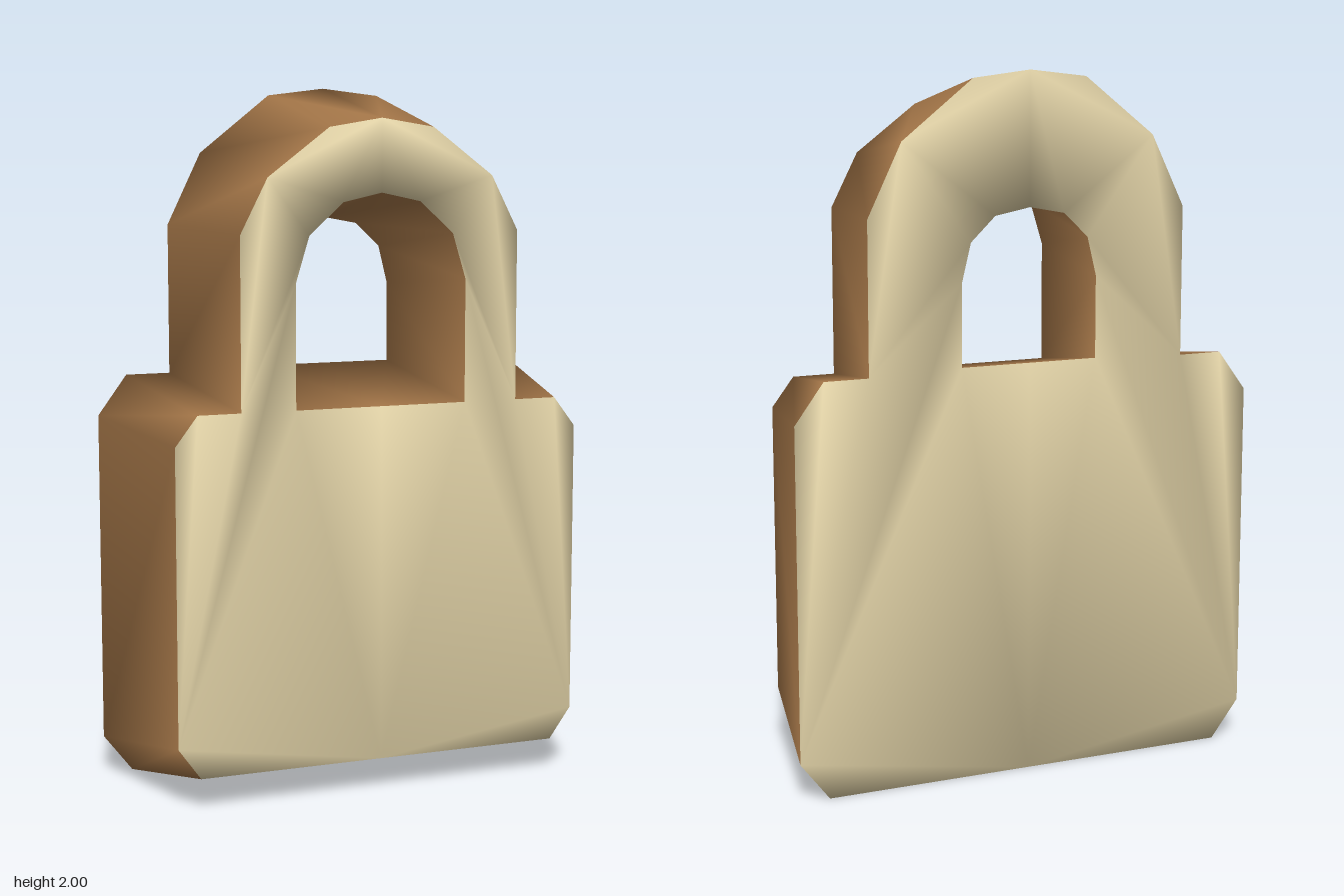
import * as THREE from 'three';
import { mergeVertices } from 'three/addons/utils/BufferGeometryUtils.js';

// Half outline of the padlock: back x, back y, front x, front y.
// Runs up the outer edge from bottom centre, then down the shackle opening.
const OUTER = [
  [0, 0, 0, 0.095], [0.61, 0, 0.54, 0.095], [0.695, 0.11, 0.605, 0.185],
  [0.695, 1.065, 0.605, 1.03], [0.61, 1.18, 0.54, 1.115], [0.48, 1.18, 0.415, 1.115],
  [0.48, 1.61, 0.415, 1.6], [0.38, 1.815, 0.335, 1.755], [0.17, 1.98, 0.155, 1.89],
  [0, 2, 0, 1.915],
];
const OPENING = [
  [0, 1.625, 0, 1.71], [0.105, 1.605, 0.115, 1.685], [0.178, 1.535, 0.215, 1.595],
  [0.205, 1.425, 0.255, 1.465], [0.205, 1.19, 0.255, 1.115], [0, 1.19, 0, 1.115],
];
const HALF_DEPTH = 0.23;

export function createModel() {
  const rim = new THREE.MeshStandardMaterial({ color: 0xa07346 });
  rim.name = 'brownRim';
  const face = new THREE.MeshStandardMaterial({ color: 0xdfd0a5 });
  face.name = 'creamFace';

  const loop = [...OUTER, ...OPENING];
  const back = loop.map(([x, y]) => [x, y, -HALF_DEPTH]);
  const front = loop.map(([, , x, y]) => [x, y, HALF_DEPTH]);
  const sides = [], caps = [];

  // Adds a triangle and its mirror image
  const tri = (list, a, b, c) => {
    list.push(...a, ...b, ...c);
    for (const [x, y, z] of [a, c, b]) list.push(x === 0 ? 0 : -x, y, z);
  };

  // Tapered walls around the outside and through the opening
  for (let i = 0; i < loop.length - 1; i++) {
    if (i === OUTER.length - 1) continue;
    tri(sides, back[i], back[i + 1], front[i + 1]);
    tri(sides, back[i], front[i + 1], front[i]);
  }

  // Front and back faces
  const contour = front.map(([x, y]) => new THREE.Vector2(x, y));
  for (const [a, b, c] of THREE.ShapeUtils.triangulateShape(contour, [])) {
    tri(caps, front[a], front[b], front[c]);
    tri(caps, back[a], back[c], back[b]);
  }

  // Weld all corners so the shading runs softly over the edges
  let geometry = new THREE.BufferGeometry();
  geometry.setAttribute('position', new THREE.Float32BufferAttribute([...sides, ...caps], 3));
  geometry = mergeVertices(geometry, 1e-4);
  geometry.clearGroups();
  geometry.addGroup(0, sides.length / 3, 0);
  geometry.addGroup(sides.length / 3, caps.length / 3, 1);
  geometry.computeVertexNormals();

  const padlock = new THREE.Mesh(geometry, [rim, face]);
  padlock.name = 'padlockBodyAndShackle';
  const group = new THREE.Group();
  group.name = 'padlock';
  group.add(padlock);
  return group;
}
